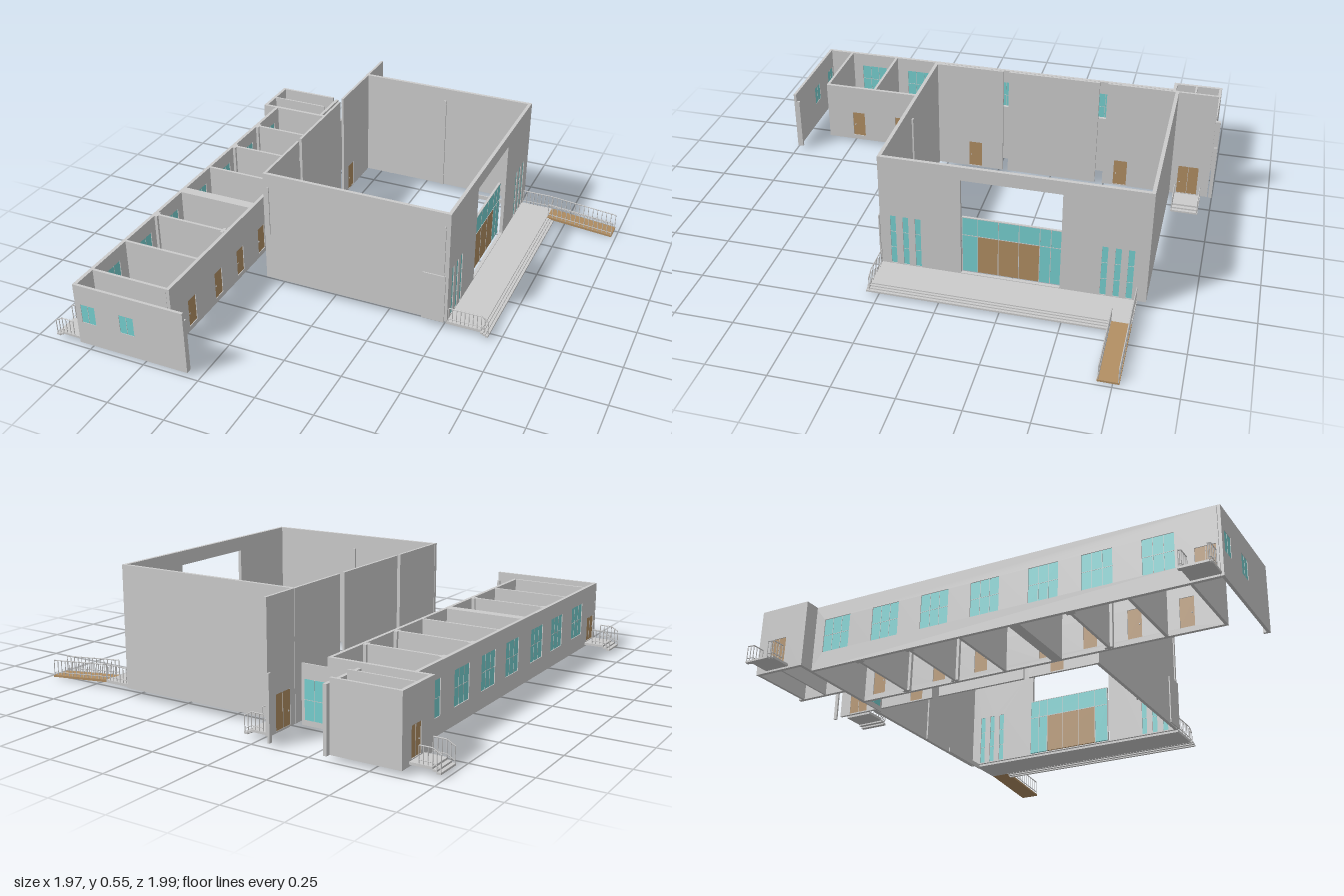
import * as THREE from 'three';

const grey = new THREE.MeshStandardMaterial({ color: 0xcccccc });
const glass = new THREE.MeshStandardMaterial({ color: 0x76d0d0 });
const wood = new THREE.MeshStandardMaterial({ color: 0xb08d62 });

// Box given by its min and max corners
function box(parent, name, x0, x1, y0, y1, z0, z1, mat = grey) {
  const m = new THREE.Mesh(new THREE.BoxGeometry(x1 - x0, y1 - y0, z1 - z0), mat);
  m.position.set((x0 + x1) / 2, (y0 + y1) / 2, (z0 + z1) / 2);
  m.name = name;
  parent.add(m);
  return m;
}

// Square bar between two points
function bar(parent, name, a, b, r = 0.0018) {
  const p = new THREE.Vector3(...a), q = new THREE.Vector3(...b);
  const m = new THREE.Mesh(new THREE.CylinderGeometry(r, r, p.distanceTo(q), 6), grey);
  m.position.copy(p).add(q).multiplyScalar(0.5);
  m.quaternion.setFromUnitVectors(new THREE.Vector3(0, 1, 0), q.sub(p).normalize());
  m.name = name;
  parent.add(m);
}

// Openings: centre, width, bottom, top
const door = (u, w = 0.06, top = 0.165, leaves = 1) => ({ kind: 'door', u, w, y0: 0.04, y1: top, cols: leaves, rows: 1 });
const windowAt = (u, w, y0, y1, cols = 2, rows = 2) => ({ kind: 'window', u, w, y0, y1, cols, rows });

// Wall along x or z, centred on c, with filled openings
function wall(parent, name, axis, a0, a1, y0, y1, c, openings = [], t = 0.015) {
  const g = new THREE.Group();
  g.name = name;
  const rect = (P, u0, u1, v0, v1) => {
    const p = new P();
    p.moveTo(u0, v0).lineTo(u1, v0).lineTo(u1, v1).lineTo(u0, v1).closePath();
    return p;
  };
  const shape = rect(THREE.Shape, a0, a1, y0, y1);
  for (const o of openings) {
    const u0 = o.u - o.w / 2, u1 = o.u + o.w / 2;
    shape.holes.push(rect(THREE.Path, u0, u1, o.y0, o.y1));
    if (o.kind === 'empty') continue;
    const isDoor = o.kind === 'door';
    box(g, isDoor ? 'doorLeaf' : 'windowPane', u0, u1, o.y0, o.y1, -0.004, 0.004, isDoor ? wood : glass);
    for (let i = 1; i < o.cols; i++) {
      const u = u0 + o.w * i / o.cols;
      box(g, 'mullion', u - 0.001, u + 0.001, o.y0, o.y1, -0.005, 0.005);
    }
    for (let i = 1; i < o.rows; i++) {
      const y = o.y0 + (o.y1 - o.y0) * i / o.rows;
      box(g, 'transom', u0, u1, y - 0.001, y + 0.001, -0.005, 0.005);
    }
    if (isDoor) box(g, 'doorHandle', u1 - 0.013, u1 - 0.008, 0.095, 0.1, -0.007, 0.007);
  }
  const geo = new THREE.ExtrudeGeometry(shape, { depth: t, bevelEnabled: false });
  geo.translate(0, 0, -t / 2);
  const m = new THREE.Mesh(geo, grey);
  m.name = 'wallPanel';
  g.add(m);
  if (axis === 'z') { g.rotation.y = -Math.PI / 2; g.position.x = c; } else g.position.z = c;
  parent.add(g);
}

// Railing with posts between two foot points
function railing(parent, a, b, n, h = 0.066) {
  const g = new THREE.Group();
  g.name = 'railing';
  const up = (p, d) => [p[0], p[1] + d, p[2]];
  for (let i = 0; i <= n; i++) {
    const p = a.map((v, k) => v + (b[k] - v) * i / n);
    bar(g, 'railingPost', p, up(p, h));
  }
  bar(g, 'handrail', up(a, h), up(b, h), 0.0024);
  bar(g, 'lowerRail', up(a, h * 0.2), up(b, h * 0.2));
  parent.add(g);
}

// Small door landing with steps, going out from x in direction dir
function porch(parent, x, dir, z0, z1) {
  const g = new THREE.Group();
  g.name = 'porch';
  const span = (name, a, b, y0, y1) =>
    box(g, name, Math.min(x + dir * a, x + dir * b), Math.max(x + dir * a, x + dir * b), y0, y1, z0, z1);
  span('landing', 0, 0.09, 0.026, 0.036);
  span('upperStep', 0.09, 0.107, 0.02, 0.028);
  span('lowerStep', 0.105, 0.122, 0.013, 0.021);
  for (const z of [z0 + 0.004, z1 - 0.004]) {
    railing(g, [x + dir * 0.035, 0.036, z], [x + dir * 0.088, 0.036, z], 3);
    railing(g, [x + dir * 0.088, 0.036, z], [x + dir * 0.12, 0.018, z], 2);
  }
  parent.add(g);
}

export function createModel() {
  const model = new THREE.Group();
  model.name = 'building';

  // Tall hall, open above
  const hall = new THREE.Group();
  hall.name = 'hall';
  model.add(hall);
  const H0 = 0.035, H1 = 0.55;
  wall(hall, 'hallFrontWall', 'x', -0.315, 0.52, H0, H1, 0.2825);
  wall(hall, 'hallBackWall', 'x', -0.315, 0.52, H0, H1, -0.8025);
  const slits = [0.235, 0.182, 0.13, -0.635, -0.688, -0.74].map(z => windowAt(z, 0.024, 0.04, 0.275, 1, 3));
  wall(hall, 'hallEntranceWall', 'z', -0.795, 0.275, H0, H1, 0.5125,
    [...slits, { kind: 'empty', u: -0.255, w: 0.41, y0: 0.04, y1: 0.49 }]);
  wall(hall, 'hallSideWallBack', 'z', -0.98, -0.5, H0, H1, -0.3075, [door(-0.885, 0.09, 0.18, 2), door(-0.58)], 0.011);
  wall(hall, 'hallSideWallMiddle', 'z', -0.465, -0.055, H0, H1, -0.3075, [], 0.011);
  wall(hall, 'hallSideWallFront', 'z', -0.03, 0.275, H0, H1, -0.3075, [door(0.1)], 0.011);
  for (const z of [-0.792, 0.272]) box(hall, 'pilaster', 0.093, 0.107, H0, 0.49, z - 0.004, z + 0.004);
  box(hall, 'cornerPilaster', -0.296, -0.288, 0.26, 0.49, 0.288, 0.295);
  box(hall, 'cornerStrip', 0.495, 0.502, H0, 0.49, 0.288, 0.295);
  box(hall, 'frontScreen', 0.41, 0.51, H0, 0.26, 0.296, 0.301);
  box(hall, 'floorEdge', 0.24, 0.51, 0.015, 0.035, -0.763, -0.757);

  // Glazed entrance screen, open above
  const entrance = new THREE.Group();
  entrance.name = 'entrance';
  hall.add(entrance);
  const ex0 = 0.487, ex1 = 0.495;
  box(entrance, 'upperGlazing', ex0, ex1, 0.215, 0.3, -0.46, -0.05, glass);
  box(entrance, 'sideGlazing', ex0, ex1, 0.036, 0.215, -0.46, -0.37, glass);
  box(entrance, 'sideGlazing', ex0, ex1, 0.036, 0.215, -0.115, -0.05, glass);
  box(entrance, 'entranceDoors', ex0, ex1, 0.036, 0.215, -0.37, -0.115, wood);
  for (const z of [-0.46, -0.415, -0.37, -0.285, -0.2, -0.115, -0.05])
    box(entrance, 'mullion', ex0 - 0.001, ex1 + 0.001, 0.036, 0.3, z - 0.0015, z + 0.0015);
  for (const y of [0.215, 0.3])
    box(entrance, 'transom', ex0 - 0.001, ex1 + 0.001, y - 0.0015, y + 0.0015, -0.46, -0.05);

  // Terrace, long steps and ramp
  const terrace = new THREE.Group();
  terrace.name = 'terrace';
  model.add(terrace);
  box(terrace, 'terraceSlab', 0.515, 0.67, 0.025, 0.037, -0.775, 0.29);
  for (let i = 0; i < 3; i++)
    box(terrace, 'step', 0.668 + i * 0.011, 0.68 + i * 0.011, 0.024 - i * 0.005, 0.032 - i * 0.005, -0.69, 0.3);
  railing(terrace, [0.525, 0.037, 0.287], [0.668, 0.037, 0.287], 8);
  railing(terrace, [0.668, 0.037, 0.287], [0.698, 0.016, 0.287], 2);
  railing(terrace, [0.525, 0.037, -0.771], [0.668, 0.037, -0.771], 8);
  const ramp = new THREE.Shape();
  ramp.moveTo(0.668, 0.026).lineTo(0.98, 0).lineTo(0.98, 0.008).lineTo(0.668, 0.037).closePath();
  const rampMesh = new THREE.Mesh(new THREE.ExtrudeGeometry(ramp, { depth: 0.085, bevelEnabled: false }), wood);
  rampMesh.position.z = -0.775;
  rampMesh.name = 'ramp';
  terrace.add(rampMesh);
  for (const z of [-0.771, -0.694]) railing(terrace, [0.672, 0.036, z], [0.977, 0.008, z], 14);

  // Long low wing of rooms, open above
  const wing = new THREE.Group();
  wing.name = 'lowWing';
  model.add(wing);
  const W0 = 0.018, W1 = 0.3;
  const roomCentres = [-0.645, -0.41, -0.18, 0.045, 0.295, 0.515, 0.755];
  wall(wing, 'wingOuterWall', 'z', -0.76, 0.98, W0, W1, -0.7925,
    [...roomCentres.map(z => windowAt(z, 0.125, 0.09, 0.235, 3, 2)), door(0.93, 0.08, 0.15, 2)]);
  wall(wing, 'wingCorridorWall', 'z', -0.76, 0.875, W0, W1, -0.4375,
    [-0.68, -0.38, -0.18, 0.12, 0.315, 0.505, 0.72].map(z => door(z)));
  for (const z of [-0.53, -0.295, -0.065, 0.4, 0.635, 0.87])
    wall(wing, 'roomPartition', 'x', -0.785, -0.445, W0, W1, z, [], 0.012);
  wall(wing, 'thickPartition', 'x', -0.785, -0.445, W0, W1, 0.17, [], 0.045);
  for (const z of [-0.53, -0.295, 0.4])
    for (const x of [-0.779, -0.454])
      box(wing, 'partitionPier', x - 0.007, x + 0.007, W0, W1, z - 0.018, z + 0.018);
  wall(wing, 'wingEndWall', 'x', -0.8, -0.3, W0, W1, 0.9875,
    [windowAt(-0.742, 0.065, 0.125, 0.21, 2, 1), windowAt(-0.563, 0.065, 0.125, 0.21, 2, 1)], 0.012);
  box(wing, 'endPost', -0.312, -0.3, W0, 0.26, 0.968, 0.984);

  // Back block with its own rooms
  const block = new THREE.Group();
  block.name = 'backBlock';
  model.add(block);
  wall(block, 'blockFrontWall', 'x', -0.865, -0.43, W0, W1, -0.76);
  wall(block, 'corridorEndWall', 'x', -0.43, -0.313, W0, 0.26, -0.762,
    [windowAt(-0.372, 0.09, 0.04, 0.2, 2, 2)], 0.006);
  wall(block, 'blockOuterWall', 'z', -0.98, -0.765, W0, W1, -0.8575, [door(-0.88, 0.07, 0.16, 2)]);
  wall(block, 'blockInnerWall', 'z', -0.998, -0.765, W0, 0.28, -0.5675, [windowAt(-0.81, 0.04, 0.12, 0.21, 1, 2)]);
  wall(block, 'blockBackWall', 'x', -0.85, -0.575, W0, W1, -0.973, [], 0.012);
  wall(block, 'blockPartition', 'x', -0.85, -0.575, W0, W1, -0.86, [], 0.008);
  box(block, 'backPost', -0.333, -0.325, W0, 0.28, -1, -0.985);

  // Door porches
  porch(model, -0.8, -1, 0.87, 0.985);
  porch(model, -0.865, -1, -0.93, -0.82);
  porch(model, -0.302, 1, -0.95, -0.83);

  return model;
}
